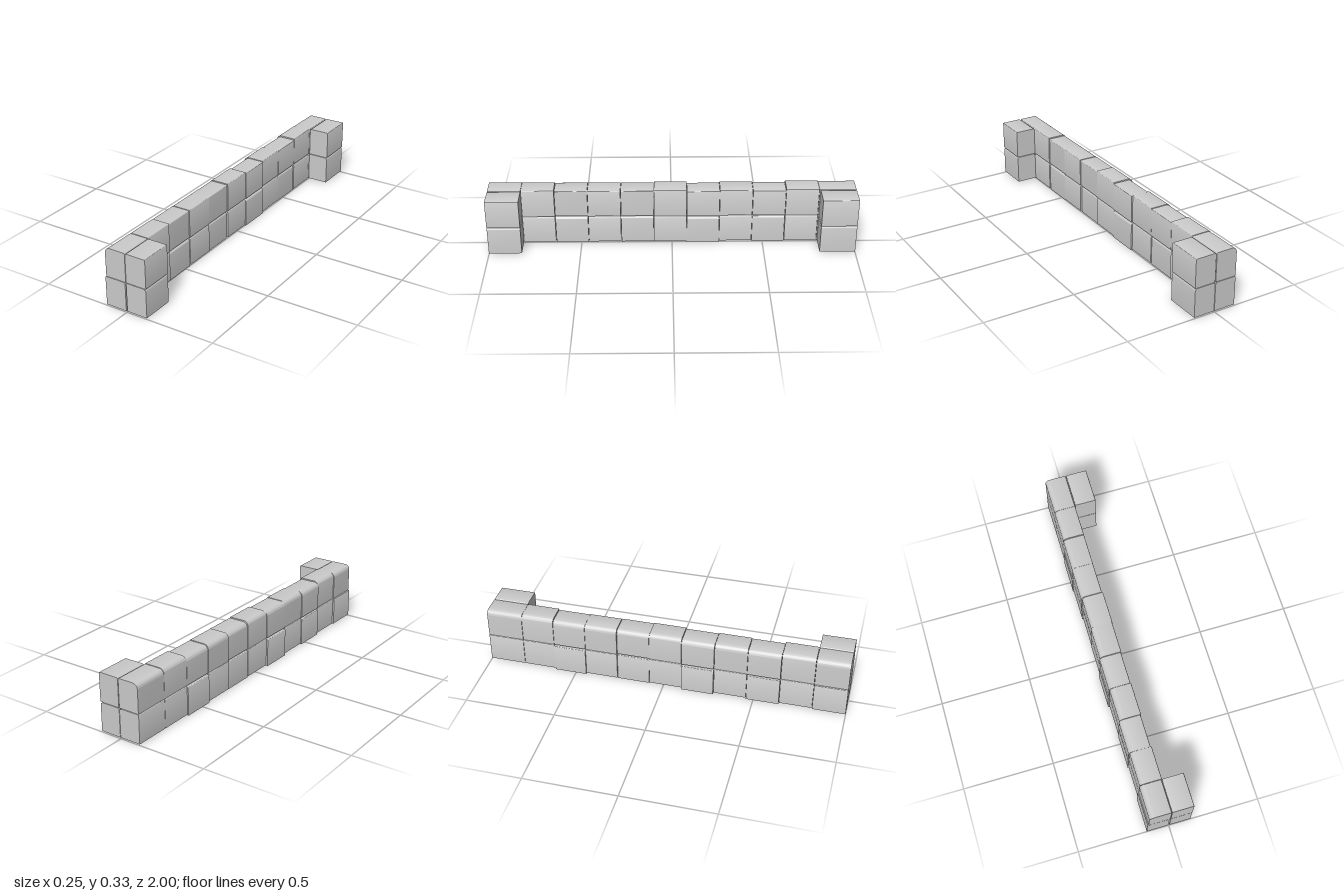
import * as THREE from 'three';
import { toCreasedNormals } from 'three/addons/utils/BufferGeometryUtils.js';

const material = new THREE.MeshStandardMaterial({ color: 0xcccccc });

// Block with its cross-section in x/y, rounded at the two top corners, running along z
function block(name, x0, x1, y0, y1, z0, z1, rLeft, rRight) {
  const s = new THREE.Shape();
  s.moveTo(x0, y0);
  s.lineTo(x1, y0);
  s.lineTo(x1, y1 - rRight);
  s.absarc(x1 - rRight, y1 - rRight, rRight, 0, Math.PI / 2, false);
  s.lineTo(x0 + rLeft, y1);
  s.absarc(x0 + rLeft, y1 - rLeft, rLeft, Math.PI / 2, Math.PI, false);
  s.closePath();
  const extruded = new THREE.ExtrudeGeometry(s, { depth: z1 - z0, bevelEnabled: false, curveSegments: 6 });
  const mesh = new THREE.Mesh(toCreasedNormals(extruded, 0.5), material);
  mesh.position.z = z0;
  mesh.name = name;
  return mesh;
}

export function createModel() {
  const model = new THREE.Group();
  model.name = 'blockWall';

  // Slight unevenness of each column, from the front (+z) to the back
  const backX = [-0.116, -0.113, -0.118, -0.115, -0.118, -0.115, -0.112, -0.118, -0.117, -0.117, -0.117];
  const topY = [0.327, 0.329, 0.323, 0.325, 0.323, 0.328, 0.322, 0.325, 0.322, 0.329, 0.327];
  const lowY = [0.006, 0.006, 0, 0.006, 0, 0.006, 0, 0.006, 0, 0.006, 0.006];
  const step = 0.18, gap = 0.001;

  // Long wall: two courses of eleven blocks
  const wall = new THREE.Group();
  wall.name = 'longWall';
  for (let i = 0; i < 11; i++) {
    const z1 = 1 - i * step - (i ? gap : 0);
    const z0 = i === 10 ? -1 : 1 - (i + 1) * step + gap;
    const x = backX[i];
    const lowX = i % 4 === 0 ? x - 0.006 : x - 0.001;
    wall.add(
      block('lowerWallBlock', lowX, lowX + 0.119, lowY[i], lowY[i] + 0.159, z0, z1, 0.004, 0.014),
      block('upperWallBlock', x, x + 0.118, 0.168, topY[i], z0, z1, 0.028, 0.004)
    );
  }
  model.add(wall);

  // Short returns at both ends: two stacked blocks each
  for (const [name, z0, z1] of [['frontReturn', 0.82, 1], ['backReturn', -1, -0.805]]) {
    const end = new THREE.Group();
    end.name = name;
    end.add(
      block('lowerReturnBlock', 0.004, 0.121, 0.006, 0.165, z0, z1, 0.004, 0.014),
      block('upperReturnBlock', 0.005, 0.122, 0.168, 0.327, z0, z1, 0.008, 0.004)
    );
    model.add(end);
  }
  return model;
}
